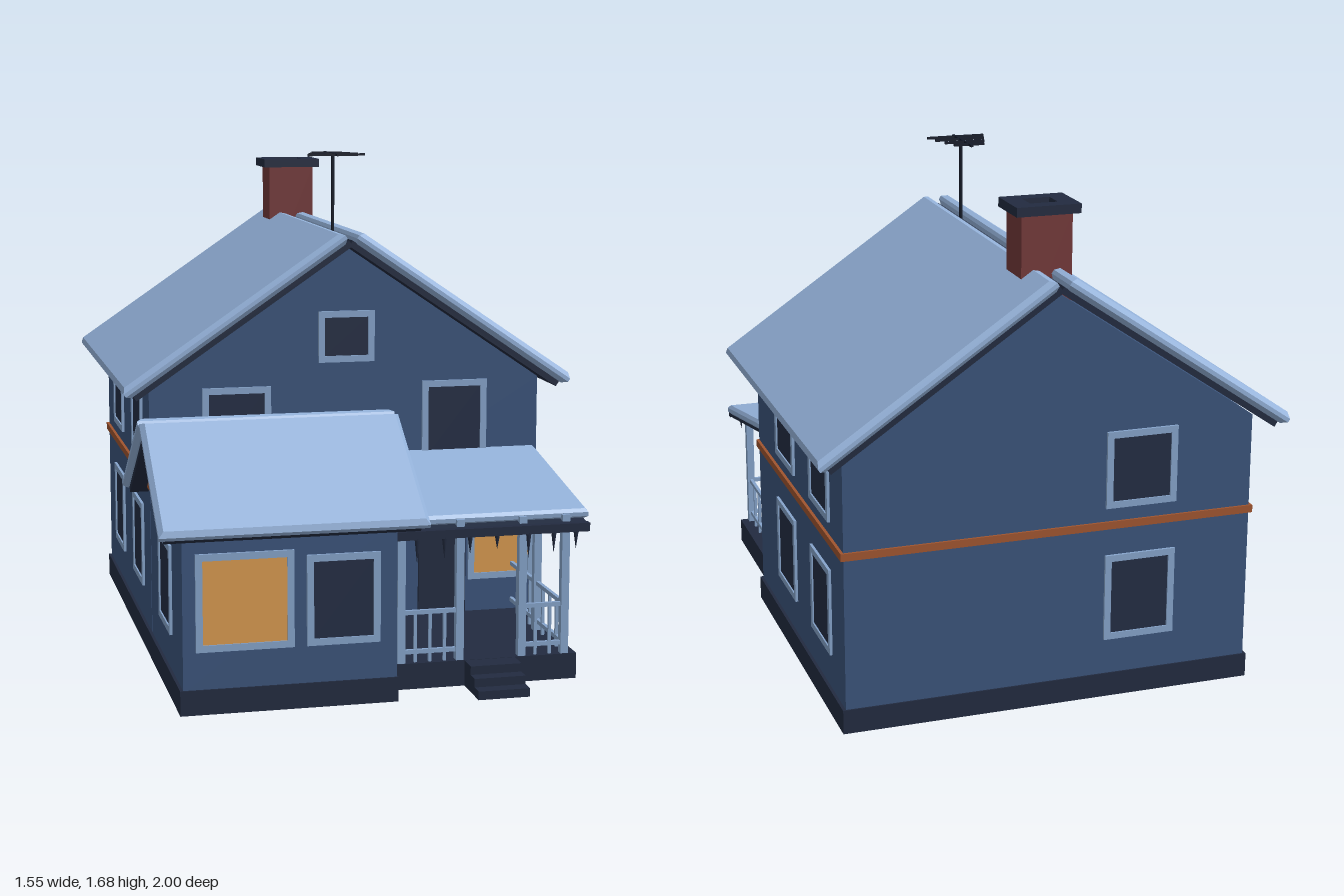
import * as THREE from 'three';

const mat = (name, color, extra = {}) => {
  const m = new THREE.MeshStandardMaterial({ color, ...extra });
  m.name = name;
  return m;
};

export function createModel() {
  const wall = mat('wall blue', 0x3b547b);
  const snow = mat('snow', 0x94b2da);
  const trim = mat('trim', 0x86a4cb);
  const dark = mat('dark slate', 0x222b40);
  const glass = mat('dark glass', 0x232d44);
  const lit = mat('lit glass', 0xd89a50);
  const orange = mat('orange band', 0xa0552f);
  const brick = mat('brick', 0x74393a);
  const metal = mat('antenna metal', 0x141a28);

  const house = new THREE.Group();
  house.name = 'house';
  const add = (name, geo, m, parent = house) => {
    const mesh = new THREE.Mesh(geo, m);
    mesh.name = name;
    parent.add(mesh);
    return mesh;
  };
  const group = (name, parent = house) => {
    const g = new THREE.Group();
    g.name = name;
    parent.add(g);
    return g;
  };
  // Box given by its limits on each axis
  const box = (name, m, x0, x1, y0, y1, z0, z1, parent) => {
    const geo = new THREE.BoxGeometry(x1 - x0, y1 - y0, z1 - z0);
    geo.translate((x0 + x1) / 2, (y0 + y1) / 2, (z0 + z1) / 2);
    return add(name, geo, m, parent);
  };
  const rect = (Kind, x0, x1, y0, y1) => {
    const s = new Kind();
    s.moveTo(x0, y0).lineTo(x1, y0).lineTo(x1, y1).lineTo(x0, y1).closePath();
    return s;
  };
  // Sloping slab with chamfered edges, from point a to point b in the x-y plane
  const slab = (name, m, a, b, width, thick, bevel, parent) => {
    const len = Math.hypot(b[0] - a[0], b[1] - a[1]);
    const shape = rect(THREE.Shape, bevel, len - bevel, bevel - width / 2, width / 2 - bevel);
    const geo = new THREE.ExtrudeGeometry(shape, {
      depth: thick - 2 * bevel, bevelEnabled: bevel > 0, bevelSize: bevel, bevelThickness: bevel, bevelSegments: 1,
    });
    geo.translate(0, 0, bevel - thick / 2).rotateX(-Math.PI / 2);
    geo.rotateZ(Math.atan2(b[1] - a[1], b[0] - a[0])).translate(a[0], a[1], 0);
    return add(name, geo, m, parent);
  };

  // Gabled block: walls plus two roof planes, each a dark slab under a snow slab
  const PITCH = 0.68;
  const gabled = (name, { half, apex, wallLen, eave, snowLen, snowMid, bevel }) => {
    const g = group(name);
    const low = apex - PITCH * half;
    const s = new THREE.Shape();
    s.moveTo(-half, 0.07).lineTo(half, 0.07).lineTo(half, low).lineTo(0, apex).lineTo(-half, low).closePath();
    const walls = new THREE.ExtrudeGeometry(s, { depth: wallLen, bevelEnabled: false });
    add('walls', walls.translate(0, 0, -wallLen / 2), wall, g);
    const top = apex + 0.055, under = apex + 0.018;
    for (const side of [0, 1]) {
      const plane = group('roofPlane', g);
      plane.rotation.y = side * Math.PI;
      plane.position.z = snowMid;
      slab('roofSnow', snow, [0.02, top - PITCH * 0.02], [eave, top - PITCH * eave], snowLen, 0.043, bevel, plane);
      slab('roofBoards', dark, [0, under], [eave - 0.035, under - PITCH * (eave - 0.035)], snowLen - 0.04, 0.022, 0, plane);
    }
    return g;
  };
  const main = gabled('mainHouse', {
    half: 0.68, apex: 1.375, wallLen: 1.14, eave: 0.77, snowLen: 1.3, snowMid: 0, bevel: 0.015,
  });
  main.position.z = -0.35;
  const wing = gabled('frontWing', {
    half: 0.34, apex: 0.818, wallLen: 0.68, eave: 0.43, snowLen: 0.845, snowMid: 0, bevel: 0.015,
  });
  wing.rotation.y = -Math.PI / 2;
  wing.position.set(-0.34, 0, 0.57);

  // Foundations and orange storey band
  box('mainFoundation', dark, -0.69, 0.69, 0, 0.08, -0.925, 0.225);
  box('wingFoundation', dark, -0.69, 0.005, 0, 0.08, 0.2, 0.915);
  box('mainBand', orange, -0.69, 0.69, 0.58, 0.605, -0.928, 0.222);
  box('wingBand', orange, -0.69, 0.008, 0.58, 0.605, 0.2, 0.912);

  // Window: limits along the wall (u) and in height, on a wall facing angle ry
  const windowOn = (ry, offset, u0, u1, y0, y1, pane = glass) => {
    const g = group('window');
    g.rotation.y = ry;
    const w = (u1 - u0) / 2, h = (y1 - y0) / 2, f = 0.022;
    const u = (u0 + u1) / 2, y = (y0 + y1) / 2;
    const place = {
      0: [u, y, offset], 1: [offset, y, u], 2: [u, y, -offset], 3: [-offset, y, u],
    }[Math.round(ry / (Math.PI / 2))];
    g.position.set(...place);
    const s = rect(THREE.Shape, -w, w, -h, h);
    s.holes.push(rect(THREE.Path, f - w, w - f, f - h, h - f));
    add('windowFrame', new THREE.ExtrudeGeometry(s, { depth: 0.009, bevelEnabled: false }), trim, g);
    box('windowPane', pane, f - w, w - f, f - h, h - f, 0, 0.004, g);
  };
  const FRONT = 0, RIGHT = Math.PI / 2, BACK = Math.PI, LEFT = 1.5 * Math.PI;
  windowOn(FRONT, 0.22, -0.5, -0.265, 0.63, 0.91);
  windowOn(FRONT, 0.22, 0.265, 0.495, 0.63, 0.91);
  windowOn(FRONT, 0.22, -0.1, 0.095, 0.985, 1.16);
  windowOn(FRONT, 0.22, 0.435, 0.675, 0.2, 0.51, lit);
  windowOn(FRONT, 0.91, -0.64, -0.33, 0.2, 0.51, lit);
  windowOn(FRONT, 0.91, -0.29, -0.055, 0.2, 0.49);
  windowOn(RIGHT, 0, 0.345, 0.57, 0.2, 0.49);
  windowOn(LEFT, 0.68, 0.45, 0.7, 0.2, 0.49);
  for (const [y0, y1] of [[0.2, 0.49], [0.65, 0.905]]) {
    windowOn(RIGHT, 0.68, -0.315, -0.065, y0, y1);
    windowOn(RIGHT, 0.68, -0.767, -0.527, y0, y1);
    windowOn(LEFT, 0.68, -0.19, 0.06, y0, y1);
    windowOn(LEFT, 0.68, -0.7, -0.45, y0, y1);
    windowOn(BACK, 0.92, -0.42, -0.18, y0, y1);
  }
  box('frontDoor', dark, 0.255, 0.425, 0.08, 0.49, 0.21, 0.228);

  // Porch deck, steps and lean-to roof
  const porch = group('porch');
  box('porchDeck', dark, 0.005, 0.635, 0, 0.085, 0.22, 0.8, porch);
  [[0.96, 0.028], [0.915, 0.056], [0.87, 0.084]].forEach(([z, y]) =>
    box('step', dark, 0.255, 0.425, 0, y, 0.79, z, porch));
  const lean = group('porchRoof', porch);
  lean.rotation.y = -Math.PI / 2;
  lean.position.x = 0.335;
  slab('porchSnow', snow, [0.2, 0.655], [0.78, 0.543], 0.68, 0.034, 0.01, lean);
  slab('porchBoards', dark, [0.2, 0.631], [0.83, 0.51], 0.65, 0.018, 0, lean);
  box('porchGutter', dark, 0.005, 0.66, 0.5, 0.528, 0.815, 0.84, porch);

  // Icicles along the porch edge
  [0.01, 0.085, 0.175, 0.26, 0.35, 0.455, 0.54, 0.615].forEach((x, i) => {
    const h = 0.05 + 0.035 * ((i * 3) % 4) / 3;
    const tip = add('icicle', new THREE.ConeGeometry(0.009, h, 6), dark, porch);
    tip.rotation.x = Math.PI;
    tip.position.set(x, 0.505 - h / 2, 0.832);
  });

  // Posts and railings
  for (const x of [0.045, 0.24, 0.45, 0.595])
    box('porchPost', trim, x - 0.013, x + 0.013, 0.08, 0.548, 0.77, 0.796, porch);
  box('porchPost', trim, 0.582, 0.608, 0.08, 0.59, 0.49, 0.516, porch);
  const rails = (x0, x1, z0, z1, count) => {
    for (const y of [0.12, 0.25])
      box('rail', trim, x0 - 0.006, x1 + 0.006, y - 0.007, y + 0.007, z0 - 0.006, z1 + 0.006, porch);
    for (let i = 1; i <= count; i++) {
      const t = i / (count + 1), x = x0 + (x1 - x0) * t, z = z0 + (z1 - z0) * t;
      box('baluster', trim, x - 0.005, x + 0.005, 0.085, 0.25, z - 0.005, z + 0.005, porch);
    }
  };
  rails(0.045, 0.24, 0.783, 0.783, 3);
  rails(0.45, 0.595, 0.783, 0.783, 2);
  rails(0.595, 0.595, 0.503, 0.783, 3);
  rails(0.595, 0.595, 0.23, 0.503, 3);

  // Chimney with an open cap
  const chimney = group('chimney');
  box('chimneyStack', brick, -0.083, 0.083, 1.2, 1.6, -0.843, -0.707, chimney);
  const cap = rect(THREE.Shape, -0.105, 0.105, -0.085, 0.085);
  cap.holes.push(rect(THREE.Path, -0.045, 0.045, -0.037, 0.037));
  const capGeo = new THREE.ExtrudeGeometry(cap, { depth: 0.03, bevelEnabled: false });
  add('chimneyCap', capGeo.rotateX(-Math.PI / 2).translate(0, 1.597, -0.775), dark, chimney);

  // Rooftop antenna
  const antenna = group('antenna');
  add('mast', new THREE.CylinderGeometry(0.006, 0.006, 0.3, 8).translate(0, 1.53, 0), metal, antenna);
  box('boom', metal, -0.004, 0.004, 1.674, 1.682, -0.122, 0.085, antenna);
  [[-0.09, 0.053], [-0.04, 0.07], [0.012, 0.086], [0.06, 0.1]].forEach(([z, r]) =>
    box('antennaRod', metal, -r, r, 1.674, 1.682, z - 0.005, z + 0.005, antenna));

  house.position.z = 0.02;
  const bounds = new THREE.Box3().setFromObject(house);
  house.position.z -= (bounds.min.z + bounds.max.z) / 2;
  return house;
}
